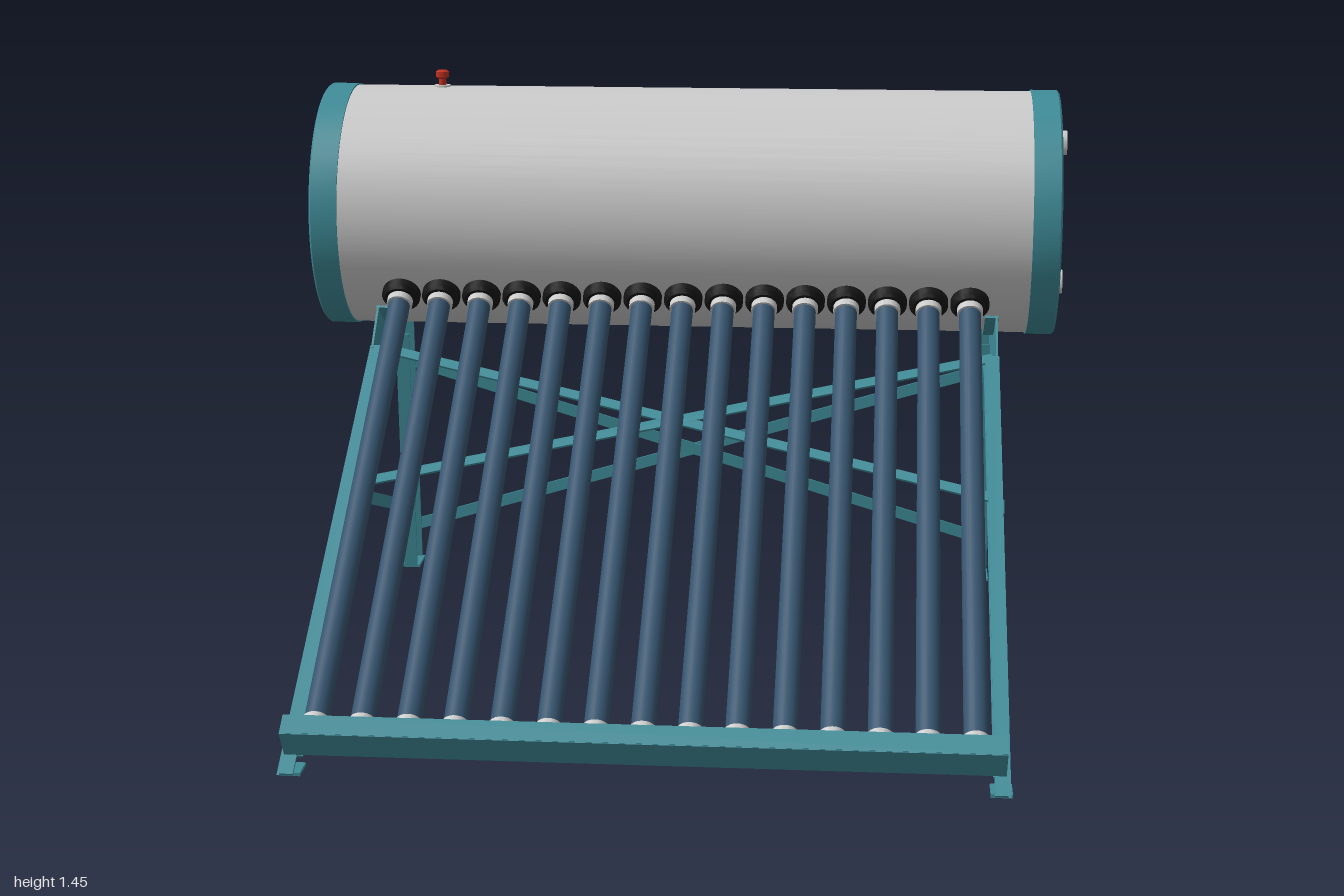
import * as THREE from 'three';
import { toCreasedNormals } from 'three/addons/utils/BufferGeometryUtils.js';

const mat = (color, side = THREE.FrontSide) => new THREE.MeshStandardMaterial({ color, side });
const V = (x, y, z) => new THREE.Vector3(x, y, z);

export function createModel() {
  const model = new THREE.Group();
  const teal = mat(0x3f8c98), grey = mat(0xcccccc), blue = mat(0x36546e);
  const black = mat(0x151515), red = mat(0xc03020);
  const CX = -0.012, TY = 1.08, TZ = -0.6; // frame centre, tank axis

  const add = (name, geometry, material, parent = model) => {
    const mesh = new THREE.Mesh(geometry, material);
    mesh.name = name;
    parent.add(mesh);
    return mesh;
  };
  const lathe = (pts, seg) => toCreasedNormals(
    new THREE.LatheGeometry(pts.map(p => new THREE.Vector2(p[0], p[1])), seg), 0.5);

  // flat bar from a to b, with its broad face towards n
  const bar = (name, a, b, width, thick, n, parent = model) => {
    const d = b.clone().sub(a), len = d.length();
    d.normalize();
    const x = d.clone().cross(n).normalize(), z = x.clone().cross(d);
    const g = new THREE.BoxGeometry(width, len, thick);
    g.applyMatrix4(new THREE.Matrix4().makeBasis(x, d, z));
    const m = add(name, g, teal, parent);
    m.position.copy(a).add(b).multiplyScalar(0.5);
    return m;
  };
  // plate drawn in (z, y), given thickness along x, centred at x
  const plate = (name, shape, x, thick, parent) => {
    const g = new THREE.ExtrudeGeometry(shape, { depth: thick, bevelEnabled: false, curveSegments: 20 });
    g.translate(0, 0, -thick / 2).rotateY(-Math.PI / 2);
    add(name, g, teal, parent).position.x = x;
  };
  const poly = pts => new THREE.Shape(pts.map(p => new THREE.Vector2(p[0], p[1])));

  // tank with dished end caps
  const shell = add('tankShell', new THREE.CylinderGeometry(0.325, 0.325, 1.84, 64, 1, true), grey);
  shell.rotation.z = -Math.PI / 2;
  shell.position.set(-0.012, TY, TZ);
  const capGeo = lathe([[0.323, 0], [0.329, 0], [0.329, 0.07], [0.324, 0.075], [0.272, 0.075],
    [0.245, 0.045], [0, 0.045]], 64);
  for (const s of [1, -1]) {
    const cap = add('tankEndCap', capGeo, teal);
    cap.rotation.z = -s * Math.PI / 2;
    cap.position.set(s > 0 ? 0.9 : -0.925, TY, TZ);
  }

  // water ports on the left end
  const portGeo = lathe([[0.033, 0], [0.033, 0.056], [0.021, 0.056], [0.021, 0.008], [0, 0.008]], 24);
  const sealGeo = new THREE.TorusGeometry(0.039, 0.009, 10, 32);
  for (const y of [1.27, 0.89]) {
    const port = add('waterPort', portGeo, grey);
    port.rotation.z = -Math.PI / 2;
    port.position.set(0.944, y, TZ);
    const seal = add('portSeal', sealGeo, black);
    seal.rotation.y = Math.PI / 2;
    seal.position.set(0.95, y, TZ);
  }

  // relief valve on top
  const valve = new THREE.Group();
  valve.name = 'reliefValve';
  valve.position.set(-0.69, 1.403, TZ);
  add('valveBase', lathe([[0.022, 0], [0.022, 0.006], [0, 0.006]], 20), grey, valve);
  add('valveKnob', lathe([[0.01, 0.006], [0.01, 0.022], [0.018, 0.028], [0.018, 0.042],
    [0.012, 0.046], [0, 0.046]], 20), red, valve);
  model.add(valve);

  // evacuated tubes, each running up into the tank
  const low = V(0, 0.1, 0.885), high = V(0, 0.885, -0.34);
  const run = low.distanceTo(high), tilt = Math.atan2(high.z - low.z, high.y - low.y);
  const tubeGeo = new THREE.CylinderGeometry(0.0285, 0.0285, run, 24);
  tubeGeo.translate(0, run / 2 + 0.02, 0);
  const tipGeo = lathe([[0, 0], [0.022, 0], [0.031, 0.008], [0.031, 0.05], [0.028, 0.05]], 24);
  const collarGeo = lathe([[0.03, -0.03], [0.042, -0.03], [0.051, -0.018], [0.051, 0.03], [0, 0.03]], 28);
  const sleeveGeo = lathe([[0.028, -0.05], [0.034, -0.05], [0.034, -0.02]], 24);
  for (let i = 0; i < 15; i++) {
    const tube = new THREE.Group();
    tube.name = 'collectorTube';
    tube.position.set(CX + (i - 7) * 0.108, low.y, low.z);
    tube.rotation.x = tilt;
    add('glassTube', tubeGeo, blue, tube);
    add('tubeTip', tipGeo, grey, tube);
    add('tubeCollar', collarGeo, black, tube).position.y = run;
    add('tubeSleeve', sleeveGeo, grey, tube).position.y = run;
    model.add(tube);
  }

  // side frames
  const T = 0.006;
  const railShape = poly([[0.925, 0.02], [0.815, 0.02], [-0.33, 0.685], [-0.29, 0.75]]);
  const legShape = poly([[-0.69, 0], [-0.78, 0], [-0.728, 0.78], [-0.645, 0.7]]);
  const gusset = new THREE.Shape();
  gusset.moveTo(-0.28, 0.745);
  gusset.lineTo(-0.379, 0.84);
  gusset.absarc(TZ, TY, 0.328, -0.827, -1.948, true);
  gusset.lineTo(-0.735, 0.64);
  gusset.lineTo(-0.648, 0.64);
  gusset.quadraticCurveTo(-0.53, 0.705, -0.32, 0.68);
  const saddle = new THREE.Shape();
  saddle.absarc(TZ, TY, 0.327, -0.827, -1.948, true);
  saddle.absarc(TZ, TY, 0.334, -1.948, -0.827, false);
  const archFlange = new THREE.Shape();
  archFlange.moveTo(-0.648, 0.64);
  archFlange.quadraticCurveTo(-0.53, 0.705, -0.32, 0.68);
  archFlange.lineTo(-0.32, 0.687);
  archFlange.quadraticCurveTo(-0.53, 0.712, -0.648, 0.648);

  for (const s of [1, -1]) {
    const frame = new THREE.Group();
    frame.name = s > 0 ? 'leftSideFrame' : 'rightSideFrame';
    frame.position.x = CX;
    model.add(frame);
    const xo = s * 0.832, xm = s * 0.816, W = 0.036;
    const up = V(0, 0.86, 0.51), back = V(0, 0.06, -1);
    // sloping rail
    plate('railWeb', railShape, xo, T, frame);
    bar('railTopFlange', V(xm, 0.02, 0.92), V(xm, 0.748, -0.292), W, T, up, frame);
    bar('railBottomFlange', V(xm, 0.022, 0.815), V(xm, 0.685, -0.327), W, T, up, frame);
    // rear leg
    plate('rearLegWeb', legShape, xo, T, frame);
    bar('rearLegBackFlange', V(xm, 0, -0.777), V(xm, 0.78, -0.726), W, T, back, frame);
    bar('rearLegFrontFlange', V(xm, 0, -0.693), V(xm, 0.7, -0.648), W, T, back, frame);
    // tank saddle
    plate('gussetWeb', gusset, xo - s * 0.003, T, frame);
    plate('saddleFlange', saddle, xm, W, frame);
    plate('archFlange', archFlange, xm, W, frame);
    // diagonal stay
    bar('sideStay', V(xo + s * 0.006, 0.455, 0.1), V(xo + s * 0.006, 0.18, -0.71), 0.034, T, V(1, 0, 0), frame);
    // feet
    bar('frontFoot', V(xm, 0.004, 0.88), V(xm, 0.004, 0.815), 0.05, 0.008, V(0, 1, 0), frame);
    bar('frontFootWeb', V(xo, 0, 0.848), V(xo, 0.045, 0.848), 0.055, T, V(1, 0, 0), frame);
    bar('rearFoot', V(xm, 0.004, -0.69), V(xm, 0.004, -0.782), 0.05, 0.008, V(0, 1, 0), frame);
    // crossed braces behind the legs and under the tubes
    bar('rearBrace', V(s * 0.82, 0.605, -0.744 - (s + 1) * 0.003), V(-s * 0.82, 0.1, -0.779 - (s + 1) * 0.003),
      0.032, T, V(0, 0, -1), frame);
    bar('slopeBrace', V(s * 0.82, 0.735, -0.33), V(-s * 0.82, 0.475, 0.1), 0.03, T, up, frame);
  }

  // bottom tray holding the tube tips: [name, y, z, width, normal]
  const along = V(0, 0.541, -0.841), across = V(0, 0.841, 0.541);
  for (const [name, y, z, w, n] of [
    ['trayFront', 0.09, 0.905, 0.08, along],
    ['trayTopLip', 0.136, 0.904, 0.052, across],
    ['trayBottomLip', 0.079, 0.852, 0.08, across],
  ]) bar(name, V(CX - 0.825, y, z), V(CX + 0.825, y, z), w, 0.005, n);

  return model;
}
